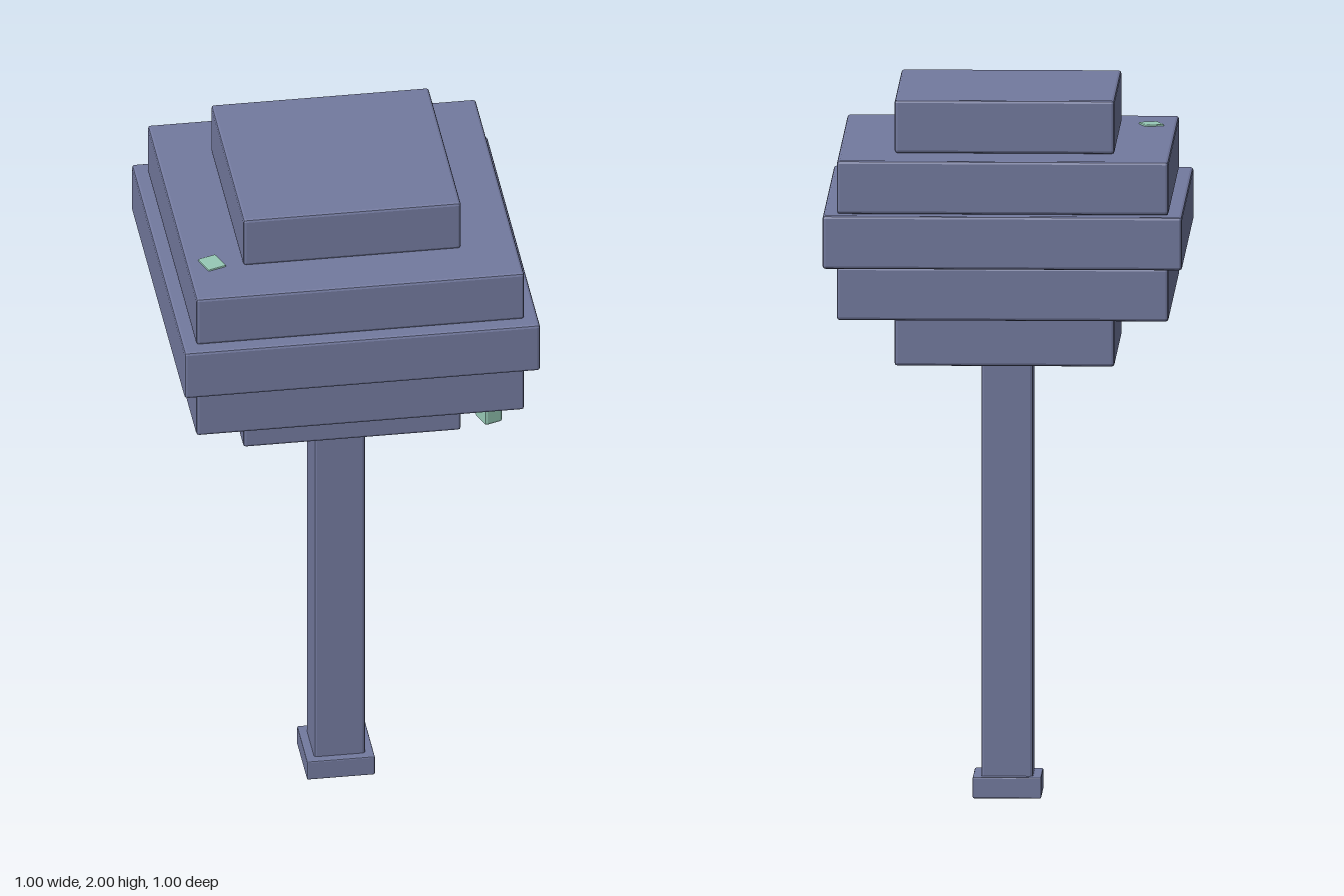
import * as THREE from 'three';
import { RoundedBoxGeometry } from 'three/addons/geometries/RoundedBoxGeometry.js';

// Box with flat chamfered edges
function chamferBox(w, h, d, c) {
  let g = new RoundedBoxGeometry(w, h, d, 1, c);
  if (g.index) g = g.toNonIndexed();
  g.computeVertexNormals();
  return g;
}

export function createModel() {
  const model = new THREE.Group();
  model.name = 'steppedBlockTree';
  const slate = new THREE.MeshStandardMaterial({ color: 0x737a9f });
  slate.name = 'slate blue';
  const mint = new THREE.MeshStandardMaterial({ color: 0x97c9b6 });
  mint.name = 'mint green';

  function block(name, w, d, y0, y1, c, material, x = 0, z = 0, turn = 0) {
    const mesh = new THREE.Mesh(chamferBox(w, y1 - y0, d, c), material);
    mesh.name = name;
    mesh.position.set(x, (y0 + y1) / 2, z);
    mesh.rotation.y = turn;
    model.add(mesh);
  }

  // Foot and trunk
  block('foot', 0.192, 0.192, 0, 0.06, 0.004, slate);
  block('trunk', 0.145, 0.145, 0.03, 1.27, 0.008, slate);

  // Five stacked slabs, widest in the middle
  [0.615, 0.927, 1.005, 0.927, 0.615].forEach((w, i) => {
    const y = 1.25 + i * 0.15;
    block('crownSlab' + (i + 1), w, w, y, y + 0.15, 0.008, slate);
  });

  // Small turned blocks: one set into a ledge, one hanging underneath
  block('ledgeBlock', 0.056, 0.066, 1.755, 1.855, 0.004, mint, -0.392, 0.28, 0.34);
  block('hangingBlock', 0.056, 0.066, 1.335, 1.435, 0.008, mint, 0.373, 0.39, 0.34);

  return model;
}
